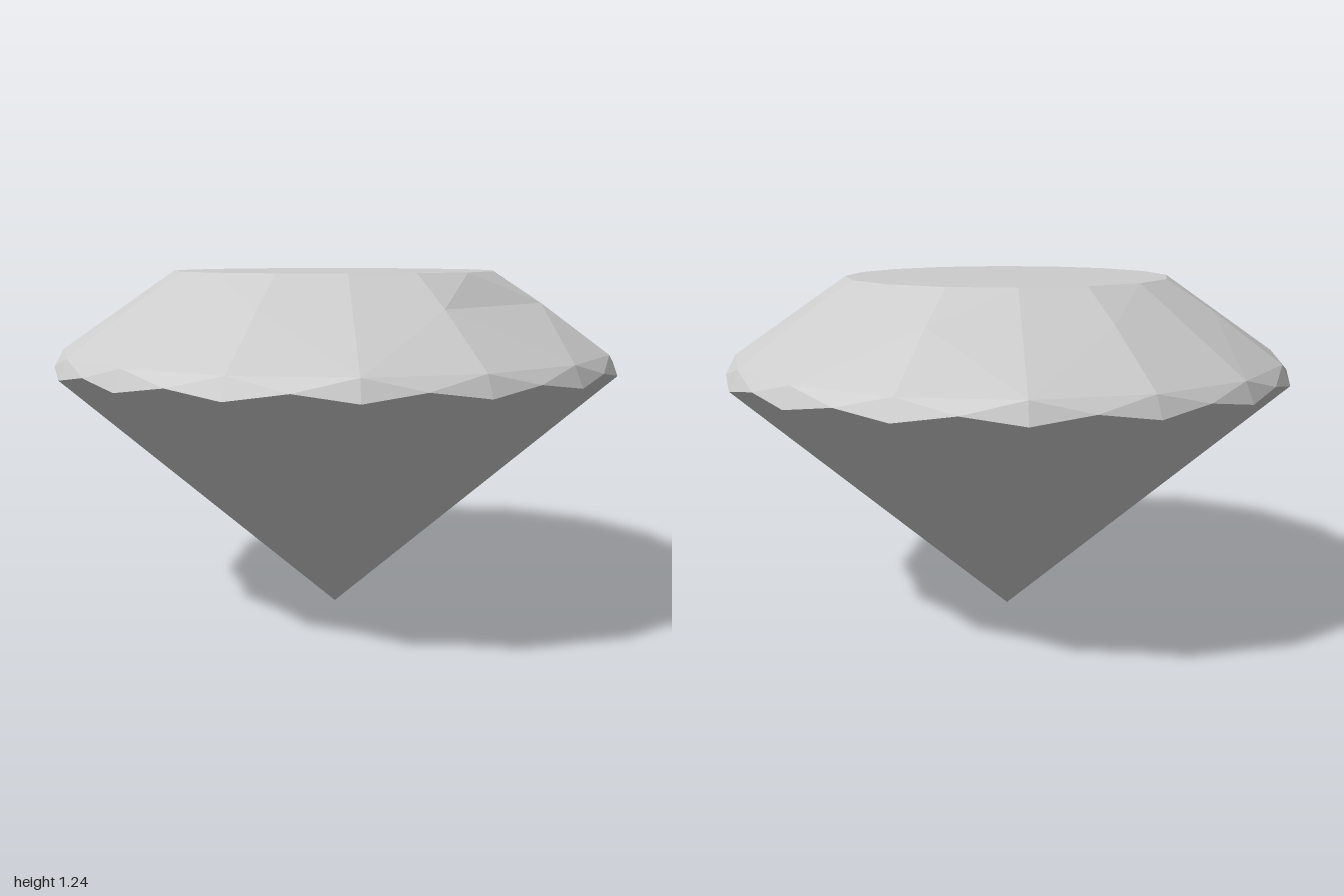
import * as THREE from 'three';

const N = 16;
const ring = (radius, y, offset = 0) => Array.from({ length: N }, (_, i) => {
  const a = ((i + offset) / N) * Math.PI * 2;
  return new THREE.Vector3(radius * Math.cos(a), y, radius * Math.sin(a));
});

// Rings of facet corners, from the table down to the girdle
const table = ring(0.573, 1.235);
const mid = ring(0.737, 1.13); // only odd corners are used
const upper = ring(0.97, 0.96);
const high = ring(0.989, 0.917, 0.5); // girdle peaks, half a step round
const low = ring(1, 0.89); // girdle dips
const top = new THREE.Vector3(0, 1.235, 0);
const tip = new THREE.Vector3(0, 0, 0);

function facets(name, material, triangles) {
  const geometry = new THREE.BufferGeometry().setFromPoints(triangles.flat());
  geometry.computeVertexNormals();
  const mesh = new THREE.Mesh(geometry, material);
  mesh.name = name;
  return mesh;
}

export function createModel() {
  const material = new THREE.MeshStandardMaterial({ color: 0xcccccc, flatShading: true });
  const tableFacet = [], crown = [], girdle = [], pavilion = [];

  for (let i = 0; i < N; i++) {
    const p = (i + N - 1) % N, n = (i + 1) % N;

    tableFacet.push([top, table[n], table[i]]);

    if (i % 2) {
      // Star facets above and girdle facets below each middle corner
      crown.push(
        [mid[i], table[p], table[i]], [mid[i], table[i], table[n]],
        [mid[i], upper[i], upper[p]], [mid[i], upper[n], upper[i]]);
    } else if (i === 0 || i === 4) {
      // Kites folded across
      crown.push([table[i], mid[n], mid[p]], [upper[i], mid[p], mid[n]]);
    } else {
      // Kites folded lengthwise
      crown.push([table[i], upper[i], mid[p]], [table[i], mid[n], upper[i]]);
    }

    // Zigzag girdle
    girdle.push(
      [high[i], upper[i], upper[n]],
      [upper[i], high[i], low[i]], [upper[i], low[i], high[p]]);

    // Long facets down to the point
    pavilion.push([tip, low[i], high[i]], [tip, high[i], low[n]]);
  }

  const group = new THREE.Group();
  group.name = 'cutGem';
  group.add(
    facets('table', material, tableFacet),
    facets('crown', material, crown),
    facets('girdle', material, girdle),
    facets('pavilion', material, pavilion));
  return group;
}
